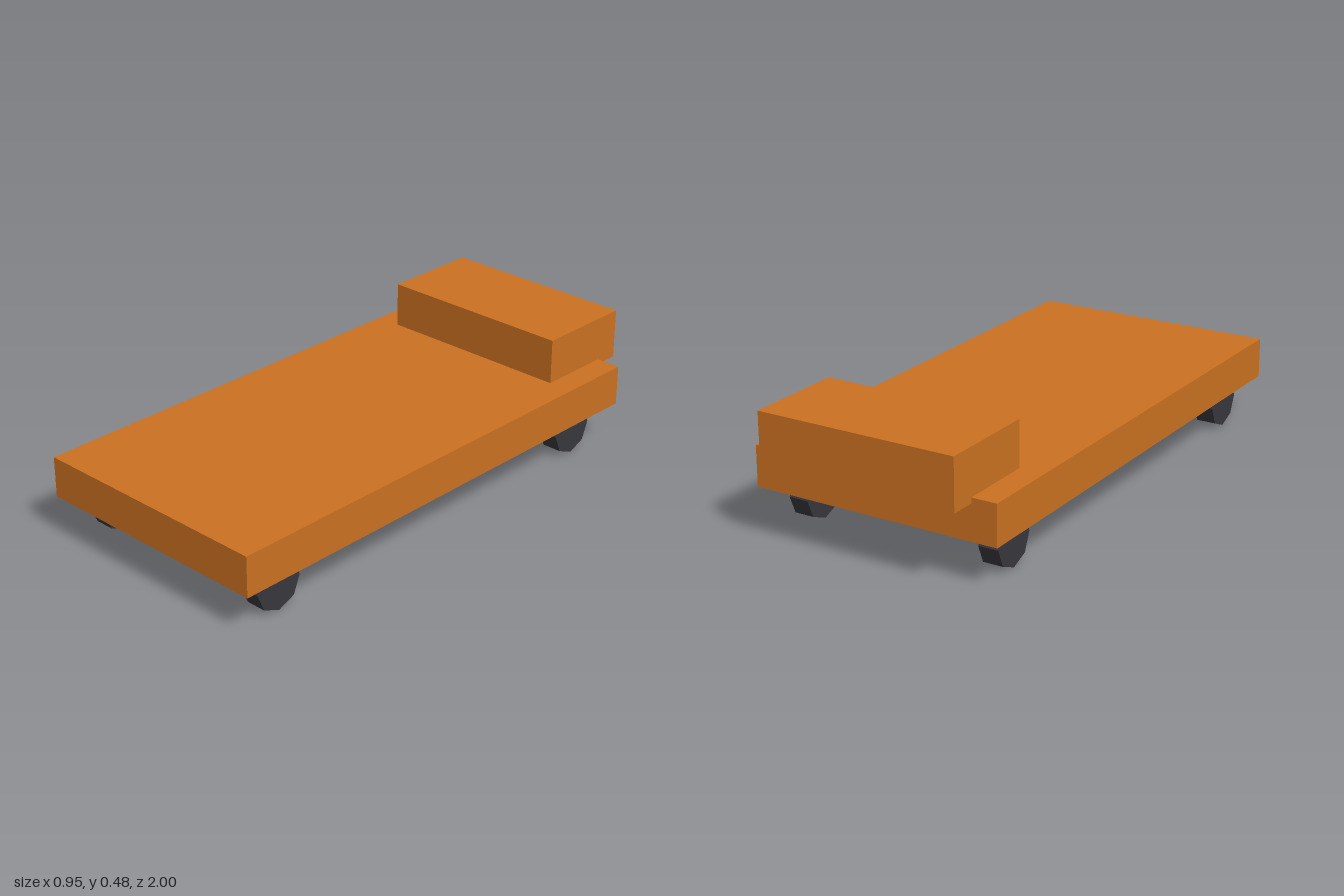
import * as THREE from 'three';

export function createModel() {
  const group = new THREE.Group();
  const orange = new THREE.MeshStandardMaterial({ name: 'orange', color: 0xcb7121 });
  const charcoal = new THREE.MeshStandardMaterial({ name: 'charcoal', color: 0x37373d, flatShading: true });

  const add = (name, geometry, material, x, y, z) => {
    const mesh = new THREE.Mesh(geometry, material);
    mesh.name = name;
    mesh.position.set(x, y, z);
    group.add(mesh);
  };

  // Flat deck and the raised block overhanging its rear edge
  add('deck', new THREE.BoxGeometry(0.952, 0.152, 1.905), orange, 0, 0.23, 0.048);
  add('rearBlock', new THREE.BoxGeometry(0.762, 0.19, 0.381), orange, 0, 0.381, -0.81);

  // Eight-sided wheels with a corner pointing straight down
  const wheel = new THREE.CylinderGeometry(0.095, 0.095, 0.076, 8).rotateZ(Math.PI / 2);
  for (const [side, x] of [['Left', 0.381], ['Right', -0.381]]) {
    add(`front${side}Wheel`, wheel, charcoal, x, 0.095, 0.81);
    add(`rear${side}Wheel`, wheel, charcoal, x, 0.095, -0.714);
  }
  return group;
}
